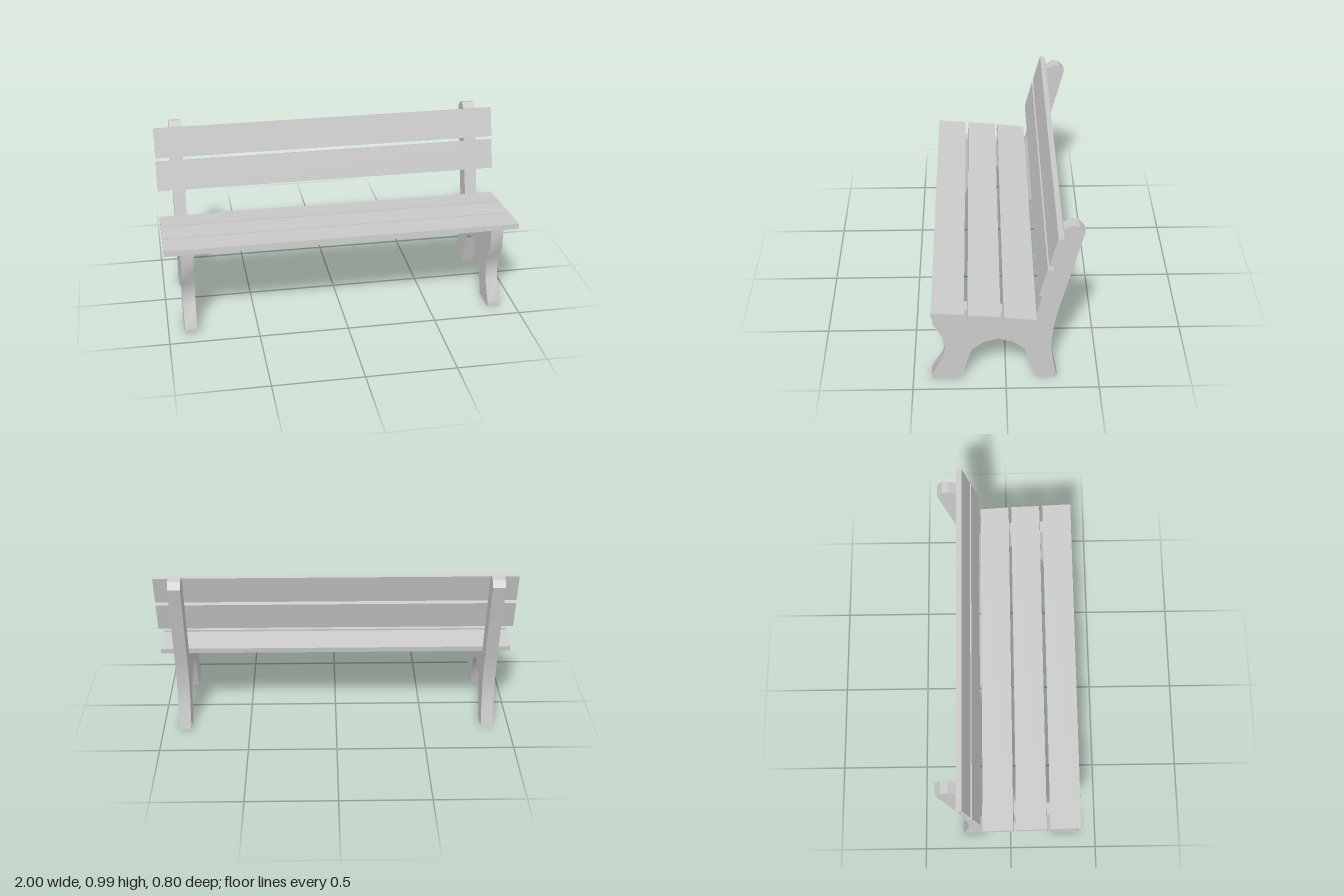
import * as THREE from 'three';
import { toCreasedNormals } from 'three/addons/utils/BufferGeometryUtils.js';

const material = new THREE.MeshStandardMaterial({ color: 0xcccccc });

// Side profile of an end support, as [z, y]
const PROFILE = [
  [0.4, 0], [0.4, 0.03], [0.337, 0.14], [0.325, 0.21], [0.337, 0.282], [0.389, 0.378], [0.39, 0.487],
  [-0.16, 0.434], [-0.289, 0.97], [-0.33, 0.992], [-0.368, 0.985], [-0.398, 0.95],
  [-0.274, 0.46], [-0.257, 0.378], [-0.245, 0.28], [-0.242, 0.21], [-0.254, 0.12], [-0.263, 0.07], [-0.277, 0],
  [-0.161, 0], [-0.102, 0.197], [-0.038, 0.248], [0.041, 0.271], [0.119, 0.248], [0.184, 0.195], [0.243, 0],
];

// Slats: name, z, y, height, depth, tilt
const SLATS = [
  ['seatSlatFront', 0.305, 0.496, 0.031, 0.171, -0.07],
  ['seatSlatMiddle', 0.116, 0.479, 0.031, 0.171, -0.07],
  ['seatSlatRear', -0.07, 0.4605, 0.031, 0.172, -0.118],
  ['backSlatLower', -0.2015, 0.703, 0.171, 0.031, -0.255],
  ['backSlatUpper', -0.2505, 0.889, 0.171, 0.031, -0.255],
];

function supportGeometry() {
  const thickness = 0.07;
  const shape = new THREE.Shape(PROFILE.map(([z, y]) => new THREE.Vector2(z, y)));
  const geometry = new THREE.ExtrudeGeometry(shape, { depth: thickness, bevelEnabled: false });
  geometry.translate(0, 0, -thickness / 2).rotateY(-Math.PI / 2);
  return toCreasedNormals(geometry, 0.6);
}

export function createModel() {
  const bench = new THREE.Group();
  bench.name = 'bench';

  // Two matching end supports, each leg pair and back post in one piece
  const support = supportGeometry();
  for (const [name, x] of [['leftSupport', 0.875], ['rightSupport', -0.875]]) {
    const mesh = new THREE.Mesh(support, material);
    mesh.name = name;
    mesh.position.x = x;
    bench.add(mesh);
  }

  // Seat and backrest planks
  for (const [name, z, y, height, depth, tilt] of SLATS) {
    const mesh = new THREE.Mesh(new THREE.BoxGeometry(2, height, depth), material);
    mesh.name = name;
    mesh.position.set(0, y, z);
    mesh.rotation.x = tilt;
    bench.add(mesh);
  }
  return bench;
}
